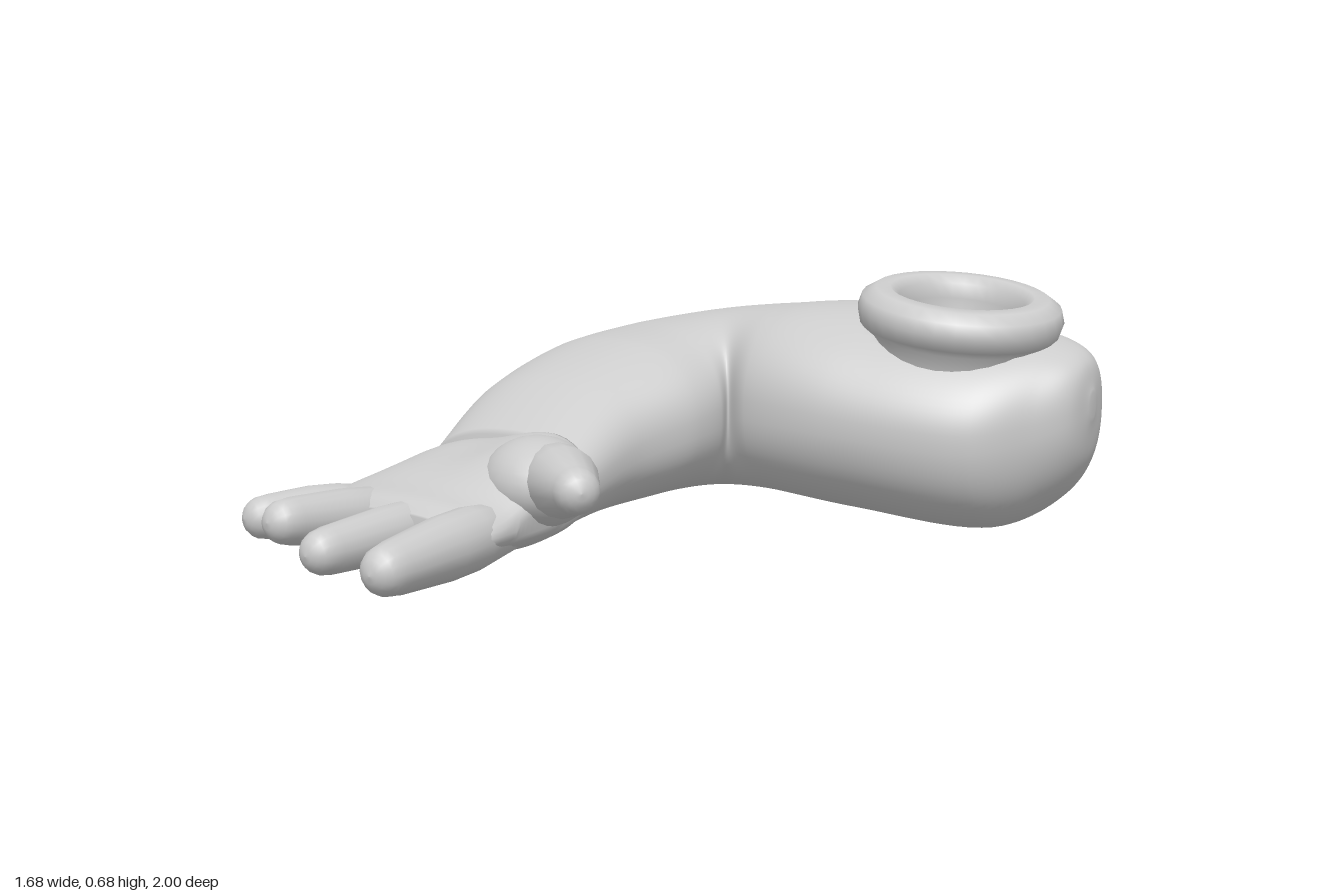
import * as THREE from 'three';

const material = new THREE.MeshStandardMaterial({ color: 0xcccccc, side: THREE.DoubleSide });
const SOCKET = new THREE.Vector3(0.46, 0.59, -0.61);

function part(name, geometry) {
  const mesh = new THREE.Mesh(geometry, material);
  mesh.name = name;
  return mesh;
}

// Smooth closed skin over stations [outerX, outerZ, innerX, innerZ, bottom, top]
function loft(stations, rows, sides, power, reshape) {
  const outer = new THREE.CatmullRomCurve3(stations.map(s => new THREE.Vector3(s[0], s[4], s[1])), false, 'centripetal');
  const inner = new THREE.CatmullRomCurve3(stations.map(s => new THREE.Vector3(s[2], s[5], s[3])), false, 'centripetal');
  const positions = [], indices = [];
  const a = new THREE.Vector3(), b = new THREE.Vector3(), v = new THREE.Vector3();
  const round = t => Math.sign(t) * Math.abs(t) ** power;
  for (let i = 0; i <= rows; i++) {
    outer.getPoint(i / rows, a);
    inner.getPoint(i / rows, b);
    for (let j = 0; j < sides; j++) {
      const angle = j / sides * Math.PI * 2;
      const u = 0.5 + 0.5 * round(Math.cos(angle)), h = 0.5 + 0.5 * round(Math.sin(angle));
      v.set(a.x + (b.x - a.x) * u, a.y + (b.y - a.y) * h, a.z + (b.z - a.z) * u);
      reshape(v);
      positions.push(v.x, v.y, v.z);
      if (i < rows) {
        const k = i * sides + j, n = i * sides + (j + 1) % sides;
        indices.push(k, n, k + sides, n, n + sides, k + sides);
      }
    }
  }
  // end caps
  for (const row of [0, rows]) {
    const s = stations[row ? stations.length - 1 : 0];
    const centre = positions.length / 3;
    positions.push((s[0] + s[2]) / 2, (s[4] + s[5]) / 2, (s[1] + s[3]) / 2);
    for (let j = 0; j < sides; j++) {
      const k = row * sides + j, n = row * sides + (j + 1) % sides;
      indices.push(centre, ...(row ? [k, n] : [n, k]));
    }
  }
  const geometry = new THREE.BufferGeometry();
  geometry.setAttribute('position', new THREE.Float32BufferAttribute(positions, 3));
  geometry.setIndex(indices);
  geometry.computeVertexNormals();
  return geometry;
}

// Tapered round-tipped digit from base to tip
function digit(name, base, tip, r0, r1) {
  const from = new THREE.Vector3(...base), dir = new THREE.Vector3(...tip).sub(from);
  const length = dir.length();
  const points = [[0, 0], [r0 * 0.8, 0], [r0, length * 0.3], [r0, length * 0.5], [r1 * 1.06, length - r1 * 1.3]]
    .map(p => new THREE.Vector2(...p));
  for (let i = 0; i <= 5; i++) {
    const t = i / 5 * Math.PI / 2;
    points.push(new THREE.Vector2(r1 * Math.cos(t), length - r1 + r1 * Math.sin(t)));
  }
  const mesh = part(name, new THREE.LatheGeometry(points, 16));
  mesh.position.copy(from);
  mesh.quaternion.setFromUnitVectors(new THREE.Vector3(0, 1, 0), dir.normalize());
  return mesh;
}

// Upper arm leans up toward the back; the skin sinks beneath the socket opening
function shapeArm(v) {
  const lean = THREE.MathUtils.smoothstep(v.x, -0.1, 0.35) * THREE.MathUtils.smoothstep(v.y, 0.2, 0.5);
  v.y += lean * 0.11 * (-0.68 - v.z);
  const r = Math.hypot(v.x - SOCKET.x, v.z - SOCKET.z);
  if (v.y > 0.36 && r < 0.21) v.y = Math.min(v.y, 0.36 + 0.2 * Math.max(0, (r - 0.15) / 0.06));
}

// Palm rises from the little finger toward the thumb
function shapePalm(v) {
  const heel = 1 - THREE.MathUtils.smoothstep(v.z, 0.4, 0.62);
  if (v.y > 0.12 && v.z > 0.22) v.y += heel * 0.05 * THREE.MathUtils.smoothstep(v.x, -0.5, -0.25);
}

export function createModel() {
  const model = new THREE.Group();
  model.name = 'arm';

  // Bent arm, shoulder end to wrist
  model.add(part('bentArm', loft([
    [0.835, -0.66, 0.835, -0.62, 0.33, 0.40],
    [0.81, -0.77, 0.81, -0.53, 0.20, 0.48],
    [0.74, -0.87, 0.74, -0.45, 0.10, 0.52],
    [0.56, -0.99, 0.60, -0.33, 0.01, 0.55],
    [0.20, -0.995, 0.22, -0.27, 0.03, 0.60],
    [-0.07, -0.985, -0.04, -0.30, 0.05, 0.59],
    [-0.49, -0.885, -0.12, -0.35, 0.05, 0.56],
    [-0.73, -0.62, -0.11, -0.30, 0.05, 0.53],
    [-0.78, -0.30, -0.12, -0.20, 0.05, 0.50],
    [-0.76, 0.00, -0.18, 0.00, 0.04, 0.42],
    [-0.71, 0.24, -0.19, 0.24, 0.03, 0.29],
  ], 110, 80, 0.88, shapeArm)));

  // Shoulder socket: rounded collar, wide neck and a hollow cup
  const profile = [
    [0.24, -0.12], [0.245, -0.06], [0.27, -0.04], [0.28, 0.0], [0.27, 0.035], [0.235, 0.058],
    [0.195, 0.06], [0.17, 0.04], [0.16, 0.0], [0.145, -0.09], [0.10, -0.16], [0, -0.18],
  ].map(p => new THREE.Vector2(...p));
  const socket = part('shoulderSocket', new THREE.LatheGeometry(profile, 32));
  socket.position.copy(SOCKET);
  socket.quaternion.setFromUnitVectors(new THREE.Vector3(0, 1, 0), new THREE.Vector3(0.14, 1, 0.11).normalize());
  model.add(socket);

  // Open hand, palm up
  const hand = new THREE.Group();
  hand.name = 'hand';
  hand.add(part('palm', loft([
    [-0.69, 0.18, -0.21, 0.18, 0.05, 0.27],
    [-0.72, 0.27, -0.165, 0.27, 0.03, 0.28],
    [-0.745, 0.42, -0.15, 0.42, 0.02, 0.25],
    [-0.77, 0.56, -0.16, 0.56, 0.03, 0.21],
    [-0.75, 0.64, -0.17, 0.65, 0.04, 0.19],
    [-0.68, 0.67, -0.23, 0.70, 0.07, 0.16],
  ], 40, 40, 0.92, shapePalm)));

  // Thumb with its fleshy mound
  const mound = part('thumbMound', new THREE.SphereGeometry(1, 24, 16));
  mound.scale.set(0.18, 0.115, 0.14);
  mound.position.set(-0.23, 0.21, 0.38);
  mound.rotation.y = -0.7;
  hand.add(mound, digit('thumb', [-0.24, 0.225, 0.33], [0.06, 0.24, 0.595], 0.09, 0.058));

  // Four spread fingers
  hand.add(
    digit('indexFinger', [-0.25, 0.115, 0.48], [-0.24, 0.085, 1.0], 0.08, 0.062),
    digit('middleFinger', [-0.42, 0.12, 0.48], [-0.46, 0.10, 0.975], 0.07, 0.056),
    digit('ringFinger', [-0.57, 0.115, 0.48], [-0.62, 0.155, 0.935], 0.07, 0.056),
    digit('littleFinger', [-0.68, 0.115, 0.48], [-0.81, 0.125, 0.825], 0.07, 0.055),
  );
  model.add(hand);
  return model;
}
